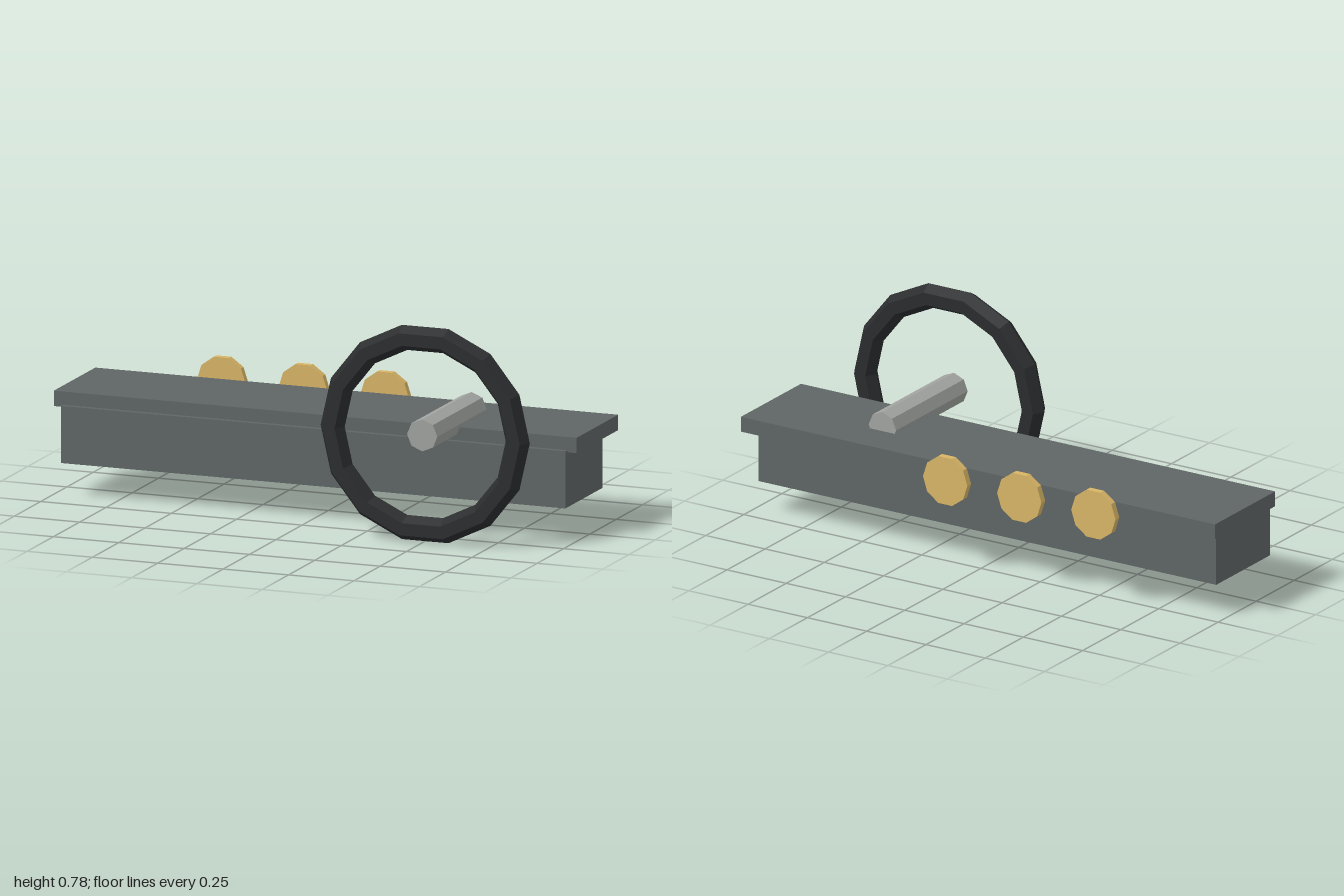
import * as THREE from 'three';

const paint = (color) => new THREE.MeshStandardMaterial({ color, flatShading: true });

export function createModel() {
  const model = new THREE.Group();
  const panel = paint(0x5f6565);
  const rubber = paint(0x2a2c2e);
  const steel = paint(0xa0a3a0);
  const brass = paint(0xd8b566);

  function add(name, geometry, material, x, y, z) {
    const mesh = new THREE.Mesh(geometry, material);
    mesh.name = name;
    mesh.position.set(x, y, z);
    model.add(mesh);
  }

  // Faceted disc or rod lying along z, with a corner on the +x side
  const rod = (radius, length, sides) =>
    new THREE.CylinderGeometry(radius, radius, length, sides, 1, false, Math.PI / 2).rotateX(Math.PI / 2);

  // Dashboard: box body with an overhanging top set slightly back
  add('dashboardBody', new THREE.BoxGeometry(1.93, 0.208, 0.353), panel, 0, 0.226, -0.0315);
  add('dashboardTop', new THREE.BoxGeometry(2, 0.056, 0.395), panel, 0, 0.35, -0.0725);

  // Steering wheel on its column
  add('steeringWheel', new THREE.TorusGeometry(0.354, 0.046, 6, 14), rubber, 0.5, 0.391, 0.322);
  add('steeringColumn', rod(0.058, 0.47, 8), steel, 0.5, 0.392, 0.116);

  // Row of round gauges behind the dashboard
  for (let i = 0; i < 3; i++) {
    add('gauge' + (i + 1), rod(0.0935, 0.025, 10), brass, -0.545 + i * 0.3125, 0.351, -0.348);
  }
  return model;
}
